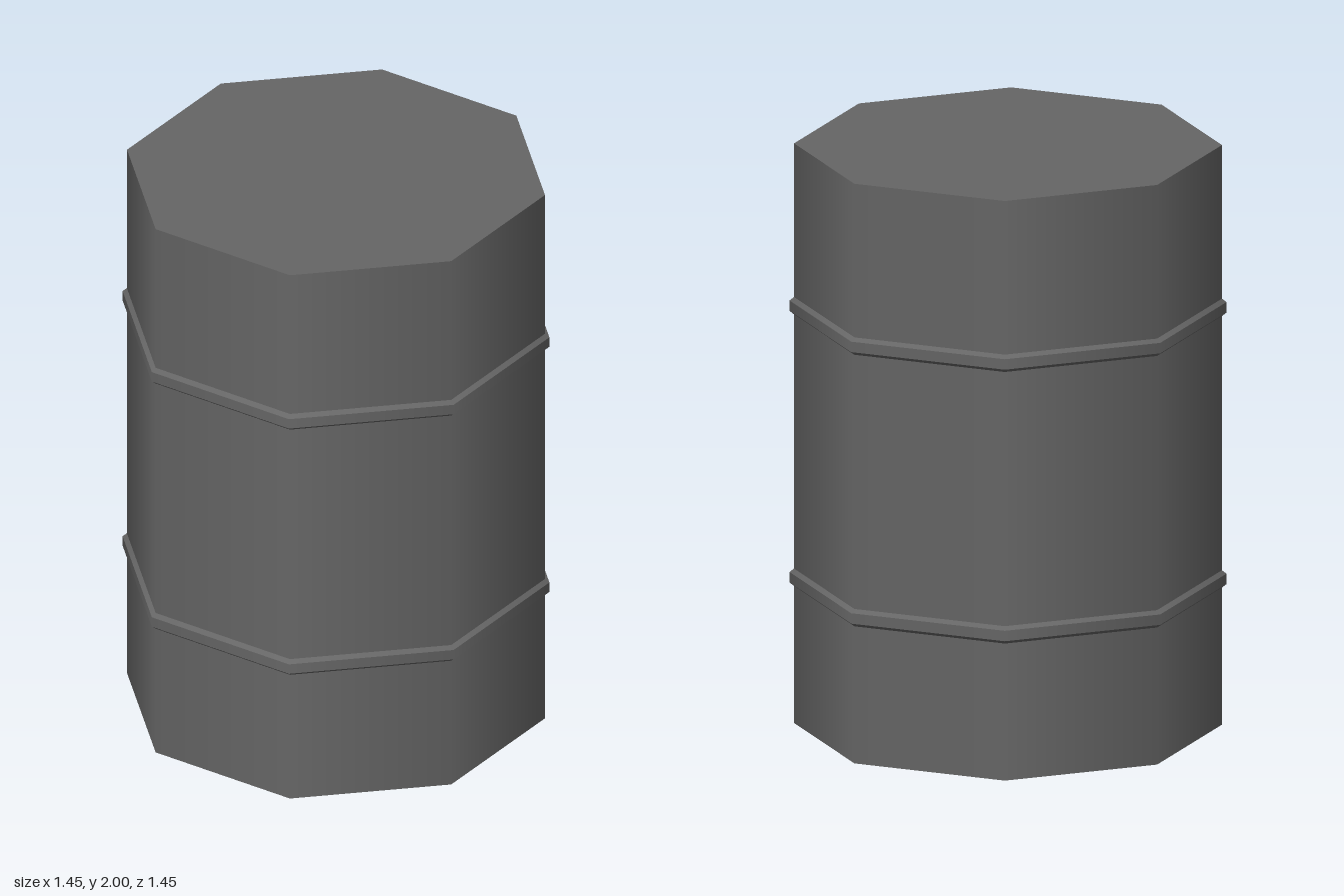
import * as THREE from 'three';
import { mergeGeometries } from 'three/addons/utils/BufferGeometryUtils.js';

const SIDES = 8;
const BODY_RADIUS = 0.712;
const HOOP_RADIUS = 0.727;

export function createModel() {
  const drum = new THREE.Group();
  drum.name = 'drum';
  const material = new THREE.MeshStandardMaterial({ color: 0x666666 });

  // Eight-sided body, shaded smoothly around, with flat lids
  const body = new THREE.Mesh(new THREE.CylinderGeometry(BODY_RADIUS, BODY_RADIUS, 2, SIDES), material);
  body.name = 'body';
  body.position.y = 1;
  drum.add(body);

  // Hoop profile [radius, height]: a raised band with bevelled edges
  const profile = [
    [BODY_RADIUS - 0.005, -0.034],
    [HOOP_RADIUS, -0.018],
    [HOOP_RADIUS, 0.018],
    [BODY_RADIUS - 0.005, 0.034],
  ];
  const bands = profile.slice(1).map(([topRadius, top], i) => {
    const [bottomRadius, bottom] = profile[i];
    return new THREE.CylinderGeometry(topRadius, bottomRadius, top - bottom, SIDES, 1, true)
      .translate(0, (top + bottom) / 2, 0);
  });
  const hoopGeometry = mergeGeometries(bands);

  for (const [name, y] of [['lowerHoop', 0.503], ['upperHoop', 1.44]]) {
    const hoop = new THREE.Mesh(hoopGeometry, material);
    hoop.name = name;
    hoop.position.y = y;
    drum.add(hoop);
  }
  return drum;
}
